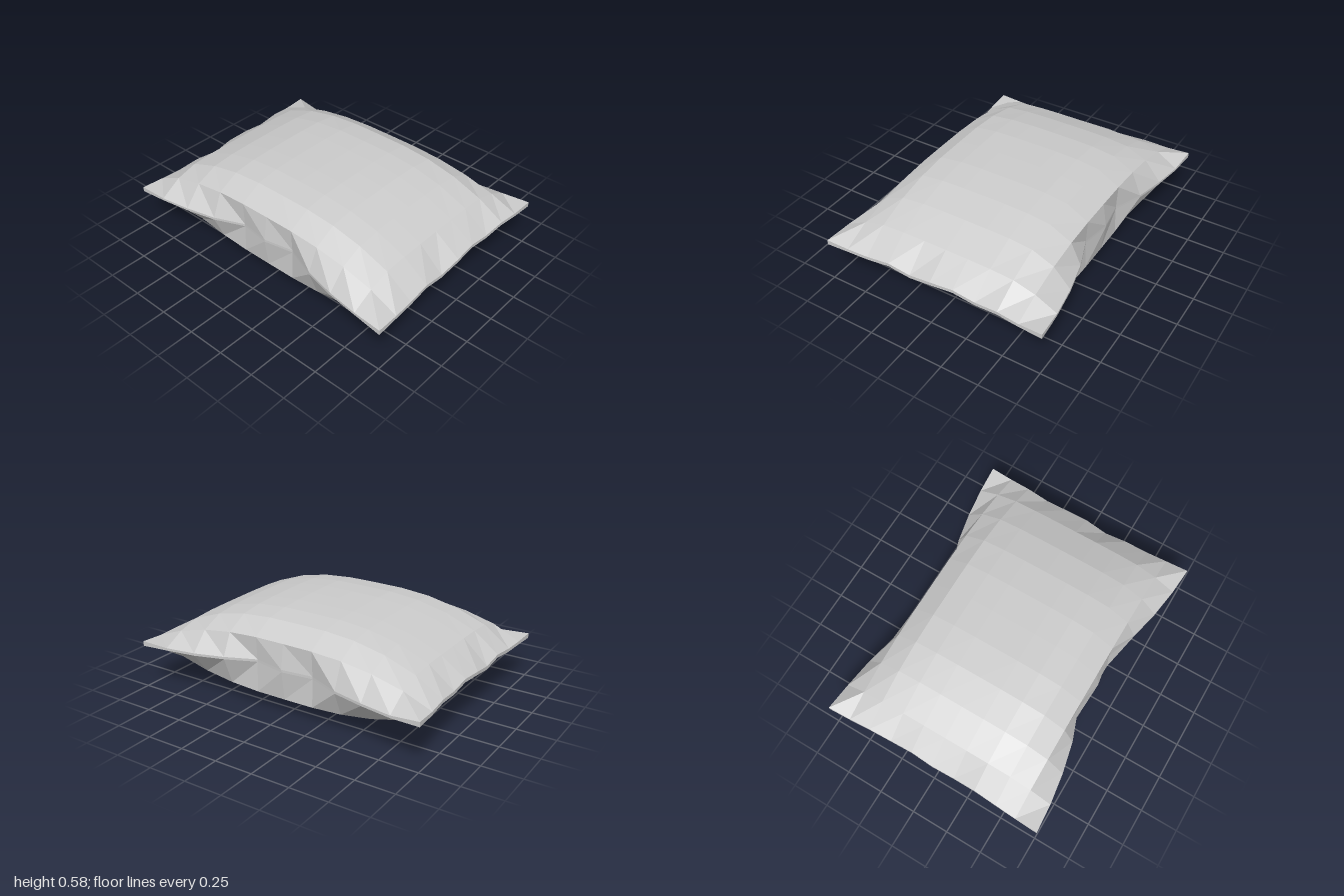
import * as THREE from 'three';

const N = 5; // grid cells from the centre to each edge
// puffiness from the centre (0) outwards (5), across the width and the depth
const puffX = [1, 0.995, 0.93, 0.77, 0.49, 0];
const puffZ = [1, 0.998, 0.98, 0.91, 0.63, 0];
const rowZ = [0, 0.153, 0.305, 0.46, 0.603];
// outline of the pinched front/back seam and the wavy side seams
const seamZ = [0.628, 0.596, 0.67, 0.715, 0.744, 0.757];
const seamX = [0.983, 0.975, 0.978, 0.986, 0.994, 1];
// seam height along the sides (back to front) and along the front/back (left to right)
const sideY = [0.302, 0.3, 0.31, 0.296, 0.312, 0.302, 0.277, 0.3, 0.286, 0.287, 0.288];
const endY = [0.288, 0.285, 0.289, 0.292, 0.302, 0.308, 0.315, 0.31, 0.302, 0.3, 0.302];

// point of the cushion skin; side is +1 for the top and -1 for the bottom
function point(i, j, side) {
  const a = Math.abs(i), b = Math.abs(j);
  const x = Math.sign(i) * (a === N ? seamX[b] : a * 0.203);
  const z = Math.sign(j) * (b === N ? seamZ[a] : rowZ[b]);
  if (a === N || b === N) {
    const mid = a === N ? sideY[j + N] - (i < 0 ? 0.004 : 0) : endY[i + N];
    const half = a === N && b === N ? 0.016 : a === N ? 0.011 : 0.008;
    return [x, mid + side * half, z];
  }
  return [x, 0.291 + side * 0.289 * puffX[a] * puffZ[b], z];
}

function makeMesh(name, triangles, material) {
  const geometry = new THREE.BufferGeometry();
  geometry.setAttribute('position', new THREE.Float32BufferAttribute(triangles.flat(), 3));
  geometry.computeVertexNormals();
  const mesh = new THREE.Mesh(geometry, material);
  mesh.name = name;
  return mesh;
}

// one puffed panel of fabric
function panel(side) {
  const out = [];
  for (let i = -N; i < N; i++) {
    for (let j = -N; j < N; j++) {
      const a = point(i, j, side), b = point(i, j + 1, side);
      const c = point(i + 1, j + 1, side), d = point(i + 1, j, side);
      if (side > 0) out.push(a, b, c, a, c, d);
      else out.push(a, c, b, a, d, c);
    }
  }
  return out;
}

// narrow strip joining the two panels all round
function seam() {
  const loop = [];
  for (let k = -N; k < N; k++) loop.push([k, N]);
  for (let k = N; k > -N; k--) loop.push([N, k]);
  for (let k = N; k > -N; k--) loop.push([k, -N]);
  for (let k = -N; k < N; k++) loop.push([-N, k]);
  const out = [];
  loop.forEach((p, k) => {
    const q = loop[(k + 1) % loop.length];
    const a = point(...p, -1), b = point(...q, -1), c = point(...q, 1), d = point(...p, 1);
    out.push(a, b, c, a, c, d);
  });
  return out;
}

export function createModel() {
  const group = new THREE.Group();
  group.name = 'pillow';
  const fabric = new THREE.MeshStandardMaterial({ color: 0xcccccc, flatShading: true, side: THREE.DoubleSide });
  group.add(
    makeMesh('topPanel', panel(1), fabric),
    makeMesh('bottomPanel', panel(-1), fabric),
    makeMesh('seam', seam(), fabric),
  );
  return group;
}
